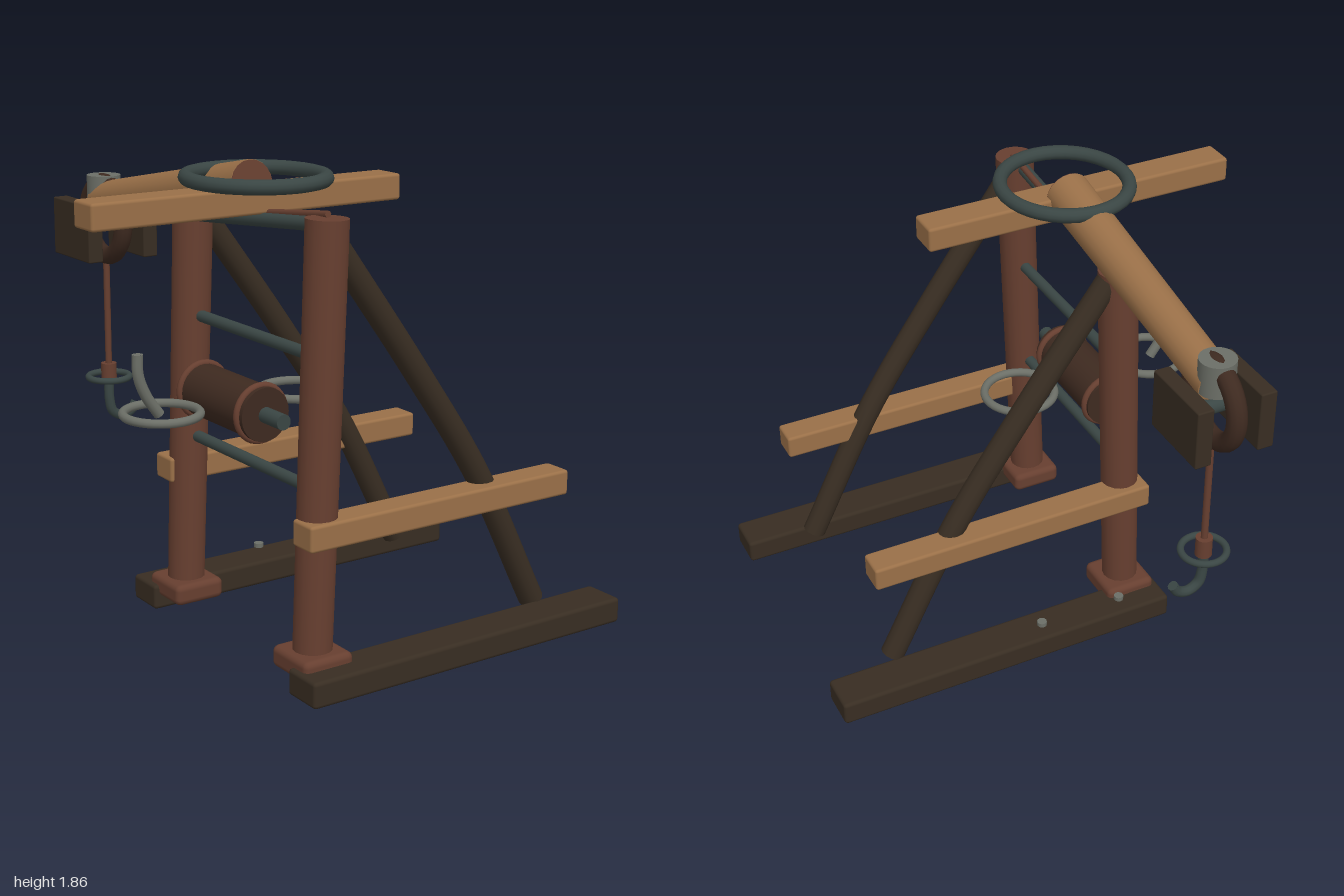
import * as THREE from 'three';
import { RoundedBoxGeometry } from 'three/addons/geometries/RoundedBoxGeometry.js';

const mat = (name, color) => {
  const m = new THREE.MeshStandardMaterial({ color });
  m.name = name;
  return m;
};

export function createModel() {
  const model = new THREE.Group();
  model.name = 'hoistingCrane';
  const wood = mat('light wood', 0x9a7048);
  const post = mat('red brown wood', 0x673f30);
  const dark = mat('dark wood', 0x382d22);
  const drumBrown = mat('drum brown', 0x3e2a20);
  const iron = mat('dark iron', 0x3a4644);
  const steel = mat('grey steel', 0x6c6f67);

  const V = (x, y, z) => new THREE.Vector3(x, y, z);
  const add = (name, geo, material, pos = [0, 0, 0]) => {
    const mesh = new THREE.Mesh(geo, material);
    mesh.name = name;
    mesh.position.set(...pos);
    model.add(mesh);
    return mesh;
  };
  // bevelled beam given by its extents on each axis
  const beam = (name, [x0, x1], [y0, y1], [z0, z1], material, bevel = 0.012) =>
    add(name, new RoundedBoxGeometry(x1 - x0, y1 - y0, z1 - z0, 2, bevel), material,
      [(x0 + x1) / 2, (y0 + y1) / 2, (z0 + z1) / 2]);
  // round bar from a to b
  const rod = (name, a, b, rA, rB, material, sides = 16) => {
    const dir = b.clone().sub(a);
    const mesh = add(name, new THREE.CylinderGeometry(rB, rA, dir.length(), sides), material);
    mesh.position.copy(a).add(b).multiplyScalar(0.5);
    mesh.quaternion.setFromUnitVectors(V(0, 1, 0), dir.normalize());
    return mesh;
  };
  // bent bar with closed ends
  const bentBar = (name, pts, r, material, sides = 10) => {
    const curve = new THREE.CatmullRomCurve3(pts);
    add(name, new THREE.TubeGeometry(curve, 24, r, sides), material);
    [0, 1].forEach((t) => {
      const cap = add(name + 'End', new THREE.CircleGeometry(r, sides), material);
      cap.position.copy(curve.getPoint(t));
      cap.quaternion.setFromUnitVectors(V(0, 0, 1), curve.getTangent(t).multiplyScalar(t ? 1 : -1));
    });
  };
  const flatRing = (name, R, r, material, pos) => {
    const ring = add(name, new THREE.TorusGeometry(R, r, 12, 36), material, pos);
    ring.rotation.x = Math.PI / 2;
    return ring;
  };

  const cx = -0.29; // plane of the boom

  // two side frames: skid, pad, post, cross beam and brace
  const frames = [
    { side: 'front', z: 0.803, top: 1.71, skid: [0.83, 1.0], bar: [0.775, 0.895] },
    { side: 'back', z: -0.085, top: 1.64, skid: [-0.29, -0.12], bar: [-0.19, -0.07] },
  ];
  for (const f of frames) {
    beam(f.side + 'Skid', [-0.47, 1.0], [0, 0.102], f.skid, dark, 0.015);
    beam(f.side + 'Pad', [-0.45, -0.235], [0.055, 0.14], [f.z - 0.113, f.z + 0.113], post, 0.025);
    rod(f.side + 'Post', V(-0.345, 0.08, f.z), V(-0.293, f.top, f.z), 0.074, 0.079, post);
    beam(f.side + 'CrossBeam', [-0.415, 0.795], [0.54, 0.64], f.bar, wood);
    bentBar(f.side + 'Brace', [V(-0.25, 1.6, f.z - 0.003), V(0.11, 1.11, f.z - 0.003),
      V(0.41, 0.67, f.z - 0.003), V(0.71, 0.1, f.z - 0.003)], 0.049, dark, 12);
  }

  // iron tie bars between the posts
  rod('upperTieBar', V(-0.305, 1.215, 0.8), V(-0.305, 1.215, -0.08), 0.023, 0.023, iron);
  rod('lowerTieBar', V(-0.325, 0.735, 0.8), V(-0.325, 0.735, -0.08), 0.023, 0.023, iron);
  rod('boomStay', V(-0.3, 1.685, 0.78), V(-0.3, 1.545, -0.66), 0.026, 0.026, iron);
  rod('hoistRope', V(-0.28, 1.72, 0.79), V(-0.28, 1.6, -0.2), 0.013, 0.013, post, 8);

  // boom, its darker end grain, turning beam and ring
  const boomFront = V(cx, 1.768, 0.325), boomBack = V(cx, 1.56, -0.81);
  rod('boom', boomFront, boomBack, 0.09, 0.076, wood, 20);
  const axis = boomFront.clone().sub(boomBack).normalize();
  rod('boomEndGrain', boomFront, boomFront.clone().addScaledVector(axis, 0.004), 0.088, 0.088, post, 20);
  beam('topBeam', [-1.0, 0.315], [1.67, 1.77], [0.29, 0.425], wood);
  flatRing('topRing', 0.25, 0.028, iron, [cx, 1.797, 0.352]).scale.set(1, 1.065, 1);

  // pulley head
  add('headCap', new THREE.CylinderGeometry(0.07, 0.07, 0.13, 24), steel, [cx, 1.6, -0.807]);
  for (const s of [-1, 1]) {
    const x = cx + s * 0.128;
    beam(s < 0 ? 'rightCheek' : 'leftCheek', [x - 0.033, x + 0.033], [1.33, 1.567], [-0.955, -0.647], dark, 0.006);
  }
  const wheel = add('pulleyWheel', new THREE.TorusGeometry(0.153, 0.038, 12, 36), drumBrown, [cx, 1.48, -0.8]);
  wheel.rotation.y = Math.PI / 2;
  rod('pulleyAxle', V(cx - 0.13, 1.46, -0.8), V(cx + 0.13, 1.46, -0.8), 0.03, 0.03, iron);

  // lifting rope and hook
  rod('liftingRope', V(cx, 0.84, -0.8), V(cx, 1.33, -0.8), 0.014, 0.014, post, 10);
  rod('hookCollar', V(cx, 0.78, -0.8), V(cx, 0.86, -0.8), 0.033, 0.033, post);
  flatRing('hookRing', 0.087, 0.014, iron, [cx, 0.8, -0.8]);
  bentBar('hook', [V(cx, 0.8, -0.8), V(cx, 0.7, -0.8), V(-0.275, 0.645, -0.8),
    V(-0.23, 0.62, -0.8), V(-0.185, 0.635, -0.8), V(-0.163, 0.67, -0.8)], 0.021, iron);

  // winch drum with bands and axle
  const wx = -0.34, wy = 0.943;
  rod('winchDrum', V(wx, wy, 0.03), V(wx, wy, 0.49), 0.103, 0.103, drumBrown, 28);
  rod('winchAxle', V(wx, wy, -0.08), V(wx, wy, 0.61), 0.03, 0.03, iron);
  [0.055, 0.458].forEach((z) =>
    add('drumBand', new THREE.TorusGeometry(0.104, 0.014, 10, 32), post, [wx, wy, z]));

  // crank rings and handle
  flatRing('rightCrankRing', 0.143, 0.017, steel, [-0.645, wy, 0.26]);
  flatRing('leftCrankRing', 0.143, 0.017, steel, [-0.043, wy, 0.26]);
  bentBar('crankHandle', [V(-0.655, 0.94, 0.26), V(-0.71, 1.02, 0.26),
    V(-0.74, 1.1, 0.26), V(-0.742, 1.178, 0.26)], 0.021, steel);

  // skid bolts
  [-0.26, 0.1].forEach((x) =>
    add('skidBolt', new THREE.CylinderGeometry(0.02, 0.02, 0.018, 12), steel, [x, 0.132, -0.23]));

  return model;
}
